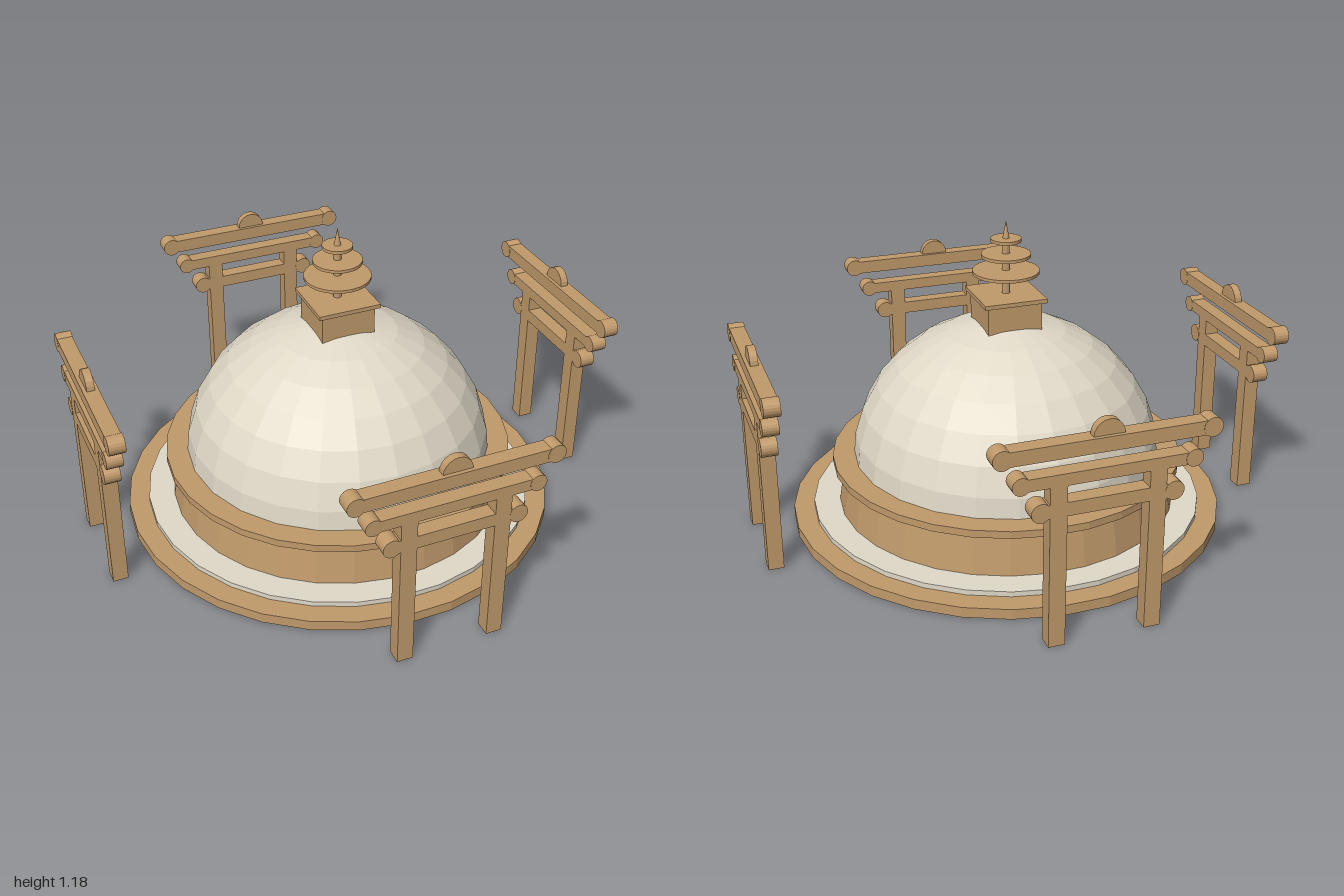
import * as THREE from 'three';

const wood = new THREE.MeshStandardMaterial({ color: 0xc19a6b, flatShading: true });
wood.name = 'tan wood';
const plaster = new THREE.MeshStandardMaterial({ color: 0xe0d9c8, flatShading: true });
plaster.name = 'pale plaster';

function add(parent, name, geometry, material, x = 0, y = 0, z = 0) {
  const mesh = new THREE.Mesh(geometry, material);
  mesh.name = name;
  mesh.position.set(x, y, z);
  parent.add(mesh);
  return mesh;
}

// Upright round part between two heights, with a corner on the x axis
function disc(parent, name, rTop, rBottom, y0, y1, material = wood, sides = 30) {
  const g = new THREE.CylinderGeometry(rTop, rBottom, y1 - y0, sides);
  g.rotateY(Math.PI / 2);
  return add(parent, name, g, material, 0, (y0 + y1) / 2, 0);
}

// Cross beam with a round knob at each end
function beam(parent, name, y, height, reach, radius, depth) {
  const group = new THREE.Group();
  group.name = name;
  add(group, 'bar', new THREE.BoxGeometry(reach * 2, height, depth - 0.002), wood, 0, y, 0);
  for (const side of [-1, 1]) {
    const knob = new THREE.CylinderGeometry(radius, radius, depth, 20);
    knob.rotateX(Math.PI / 2);
    add(group, 'endKnob', knob, wood, side * reach, y, 0);
  }
  parent.add(group);
}

function createGate() {
  const gate = new THREE.Group();
  for (const side of [-1, 1]) {
    add(gate, 'post', new THREE.BoxGeometry(0.06, 0.61, 0.058), wood, side * 0.175, 0.305, 0);
  }
  beam(gate, 'topBeam', 0.727, 0.052, 0.365, 0.035, 0.06);
  beam(gate, 'middleBeam', 0.625, 0.044, 0.303, 0.032, 0.06);
  beam(gate, 'lowerBeam', 0.517, 0.05, 0.235, 0.035, 0.06);

  // Half-round crest above the top beam
  const crest = new THREE.CylinderGeometry(0.055, 0.055, 0.03, 20);
  crest.rotateX(Math.PI / 2);
  add(gate, 'crest', crest, wood, 0, 0.754, 0);
  return gate;
}

export function createModel() {
  const model = new THREE.Group();
  model.name = 'domedShrine';

  // Stepped plinth and drum
  disc(model, 'basePlinth', 0.845, 0.845, 0, 0.04);
  disc(model, 'paleStep', 0.765, 0.765, 0.035, 0.06, plaster);
  disc(model, 'drum', 0.637, 0.664, 0.055, 0.23);
  disc(model, 'drumRim', 0.683, 0.683, 0.225, 0.254);

  // Dome
  const dome = new THREE.SphereGeometry(0.602, 24, 8, 0, Math.PI * 2, 0, Math.PI / 2);
  dome.scale(1, 0.57 / 0.602, 1);
  add(model, 'dome', dome, plaster, 0, 0.22, 0);

  // Square turret with its cap
  add(model, 'turret', new THREE.BoxGeometry(0.212, 0.14, 0.212), wood, 0, 0.81, 0);
  add(model, 'turretCap', new THREE.BoxGeometry(0.245, 0.016, 0.245), wood, 0, 0.887, 0);

  // Spire with three shrinking rings
  disc(model, 'spireRod', 0.014, 0.016, 0.89, 1.11, wood, 12);
  disc(model, 'spireTip', 0, 0.013, 1.11, 1.178, wood, 12);
  [[0.98, 0.127], [1.045, 0.094], [1.104, 0.058]].forEach(([y, r]) => {
    disc(model, 'spireRing', r, r, y - 0.006, y + 0.006, wood, 24);
  });

  // One gate on each of the four sides
  ['frontGate', 'leftGate', 'backGate', 'rightGate'].forEach((name, i) => {
    const gate = createGate();
    const angle = (i * Math.PI) / 2;
    gate.name = name;
    gate.rotation.y = angle;
    gate.position.set(Math.sin(angle) * 0.97, 0, Math.cos(angle) * 0.97);
    model.add(gate);
  });

  return model;
}
